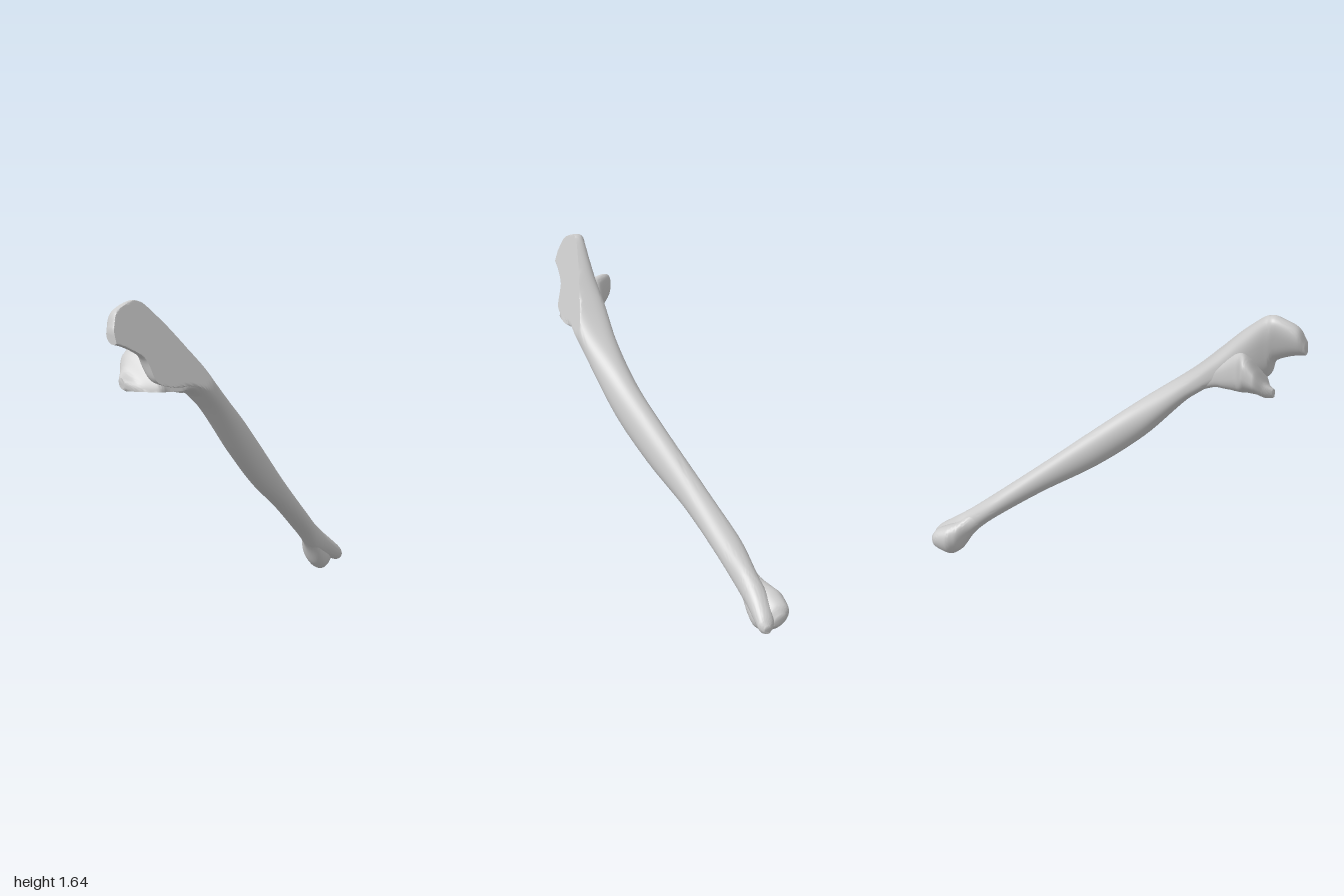
import * as THREE from 'three';
import { toCreasedNormals } from 'three/addons/utils/BufferGeometryUtils.js';

const SIDES = 48, STEPS = 8;
const ramp = THREE.MathUtils.smoothstep;

// Smooth interpolation of section rows without overshoot
function resample(rows) {
  const end = rows.length - 1;
  const limit = (a, b) => (a * b <= 0 ? 0 : (2 * a * b) / (a + b));
  const slope = (i, k) => {
    if (i === 0) return rows[1][k] - rows[0][k];
    if (i === end) return rows[i][k] - rows[i - 1][k];
    return limit(rows[i][k] - rows[i - 1][k], rows[i + 1][k] - rows[i][k]);
  };
  const out = [];
  for (let n = 0; n <= end * STEPS; n++) {
    const i = Math.min(Math.floor(n / STEPS), end - 1);
    const t = n / STEPS - i, t2 = t * t, t3 = t2 * t;
    out.push(rows[i].map((v, k) =>
      (2 * t3 - 3 * t2 + 1) * v + (t3 - 2 * t2 + t) * slope(i, k) +
      (3 * t2 - 2 * t3) * rows[i + 1][k] + (t3 - t2) * slope(i + 1, k)));
  }
  return out;
}

// Loft of rounded sections, each row: z, xMin, xMax, yMin, yMax
function loft(rows, adjust) {
  const pos = [], idx = [], rings = resample(rows);
  for (const [z, x0, x1, y0, y1] of rings) {
    // Round along the shaft, squarer through the upper end
    const power = 1 - 0.3 * ramp(z, 0.2, 0.55) + 0.2 * ramp(z, 0.75, 1);
    for (let j = 0; j < SIDES; j++) {
      const a = (j / SIDES) * Math.PI * 2, c = Math.cos(a), s = Math.sin(a);
      const p = new THREE.Vector3(
        (x0 + x1) / 2 + Math.sign(c) * Math.abs(c) ** power * (x1 - x0) / 2,
        (y0 + y1) / 2 + Math.sign(s) * Math.abs(s) ** power * (y1 - y0) / 2, z);
      adjust(p);
      pos.push(p.x, p.y, p.z);
    }
  }
  const last = (rings.length - 1) * SIDES;
  for (let r = 0; r < last; r += SIDES) {
    for (let j = 0; j < SIDES; j++) {
      const k = (j + 1) % SIDES;
      idx.push(r + j, r + k, r + SIDES + k, r + j, r + SIDES + k, r + SIDES + j);
    }
  }
  for (let j = 1; j < SIDES - 1; j++) {
    idx.push(0, j + 1, j, last, last + j, last + j + 1);
  }
  const g = new THREE.BufferGeometry();
  g.setAttribute('position', new THREE.Float32BufferAttribute(pos, 3));
  g.setIndex(idx);
  return toCreasedNormals(g, 0.9);
}

// Flat, leaning outer face of the upper end
function flatFace(p, inset) {
  p.x = Math.min(p.x, 0.307 - inset - 0.31 * (p.y - 1.2));
}

export function createModel() {
  const group = new THREE.Group();
  const bone = new THREE.MeshStandardMaterial({ color: 0xcccccc });
  bone.name = 'bone';
  const add = (name, rows, adjust) => {
    const mesh = new THREE.Mesh(loft(rows, adjust), bone);
    mesh.name = name;
    group.add(mesh);
  };

  // Lower spur, long shaft and hooked upper end in one sweep
  add('shaft', [
    [-1, -0.17, -0.13, 0.055, 0.1],
    [-0.97, -0.2, -0.11, 0.045, 0.135],
    [-0.85, -0.225, -0.107, 0.09, 0.23],
    [-0.77, -0.215, -0.097, 0.13, 0.29],
    [-0.64, -0.2, -0.055, 0.245, 0.395],
    [-0.37, -0.11, 0.03, 0.44, 0.615],
    [-0.08, -0.01, 0.145, 0.62, 0.855],
    [0.16, 0.065, 0.233, 0.815, 1.05],
    [0.42, 0.105, 0.3, 1.1, 1.255],
    [0.55, 0.105, 0.32, 1.19, 1.385],
    [0.68, 0.105, 0.32, 1.21, 1.525],
    [0.8, 0.125, 0.3, 1.25, 1.63],
    [0.84, 0.13, 0.27, 1.36, 1.64],
    [0.96, 0.135, 0.25, 1.425, 1.59],
    [1, 0.15, 0.23, 1.435, 1.51],
  ], (p) => {
    p.x -= 0.3 * ramp(p.z, 0.55, 0.85) * (p.y - 1.5);
    flatFace(p, 0);
  });

  // Shelf below the notch, reaching inward and forward
  add('notchShelf', [
    [0.4, 0.13, 0.27, 1.11, 1.2],
    [0.57, 0.1, 0.31, 1.185, 1.36],
    [0.67, 0.07, 0.31, 1.18, 1.42],
    [0.73, 0, 0.3, 1.19, 1.39],
    [0.78, 0, 0.29, 1.19, 1.33],
    [0.83, 0.045, 0.2, 1.18, 1.26],
    [0.87, 0.085, 0.13, 1.19, 1.24],
  ], (p) => {
    p.y -= 0.5 * ramp(p.z, 0.57, 0.73) * (p.x - 0.15);
    if (p.z > 0.6) p.y = Math.max(p.y, 1.2);
    flatFace(p, 0.006);
  });

  // Rounded knob at the lower end
  add('lowerKnob', [
    [-0.97, -0.265, -0.2, 0.06, 0.12],
    [-0.94, -0.3, -0.16, 0.03, 0.16],
    [-0.87, -0.308, -0.125, 0.005, 0.2],
    [-0.82, -0.285, -0.12, 0.035, 0.225],
    [-0.75, -0.22, -0.11, 0.14, 0.29],
    [-0.62, -0.19, -0.08, 0.27, 0.4],
  ], (p) => {
    p.y -= 0.3 * ramp(-p.z, 0.7, 0.87) * (p.x + 0.22);
  });

  return group;
}
